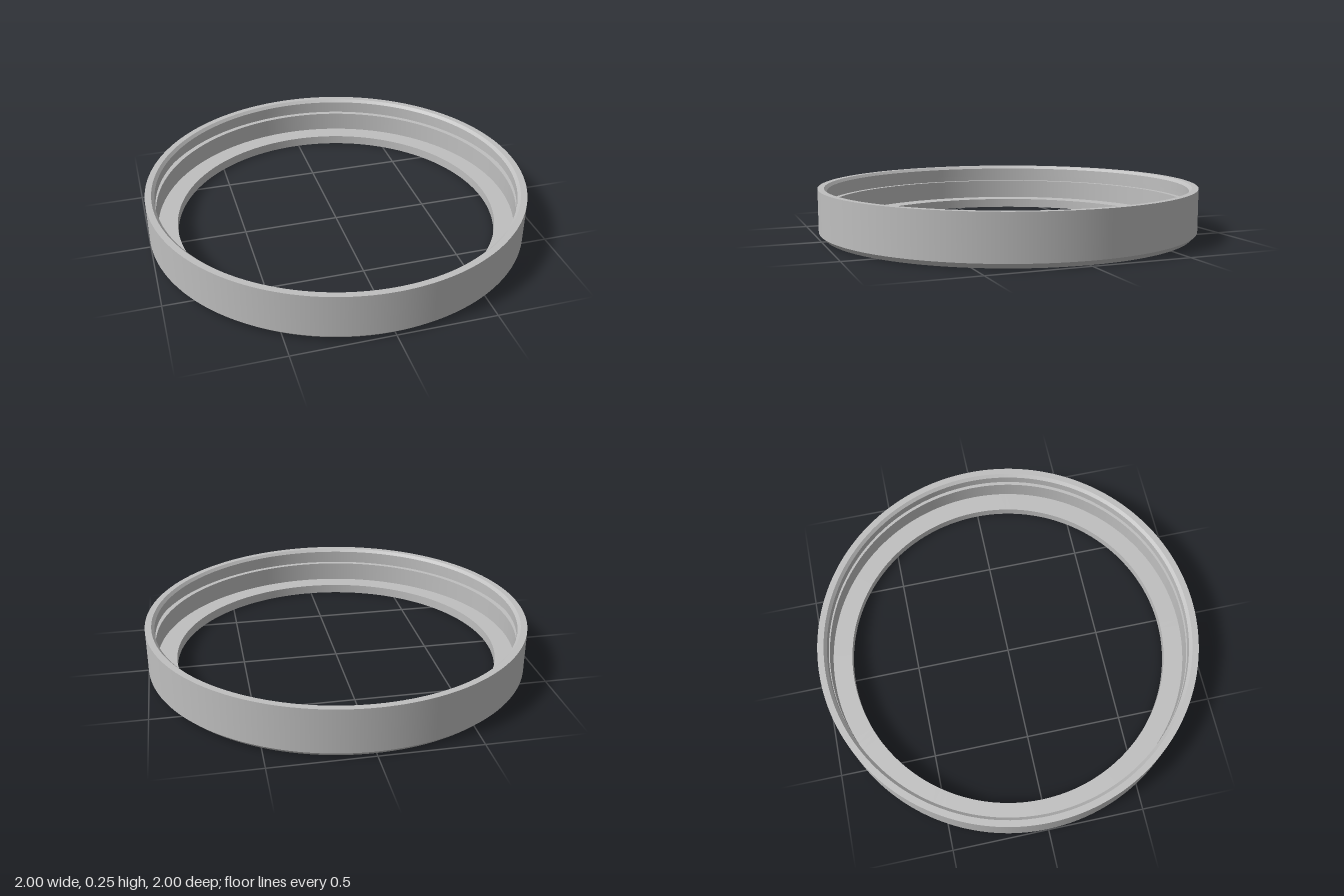
import * as THREE from 'three';
import { mergeGeometries } from 'three/addons/utils/BufferGeometryUtils.js';

// Closed ring section [radius, height], counter-clockwise from the outer bottom edge
const PROFILE = [
  [0.975, 0], [1, 0.025], [1, 0.25],      // bottom chamfer and outer wall
  [0.967, 0.25], [0.952, 0.235],          // rim and its inner chamfer
  [0.952, 0.187], [0.98, 0.187],          // lip above the groove
  [0.98, 0.156], [0.952, 0.156],          // groove wall and ledge
  [0.952, 0.05], [0.85, 0.05], [0.85, 0], // inner wall, seat flange and bore
];

// Each band is turned separately: smooth around the ring, sharp at its edges
function turnedRing(profile, segments) {
  const points = profile.map(([r, y]) => new THREE.Vector2(r, y));
  const bands = points.map((p, i) =>
    new THREE.LatheGeometry([p, points[(i + 1) % points.length]], segments));
  return mergeGeometries(bands);
}

export function createModel() {
  const group = new THREE.Group();
  group.name = 'retainingRing';
  const metal = new THREE.MeshStandardMaterial({ color: 0xbfbfbf });
  metal.name = 'light grey metal';
  const ring = new THREE.Mesh(turnedRing(PROFILE, 160), metal);
  ring.name = 'ringBody';
  group.add(ring);
  return group;
}
